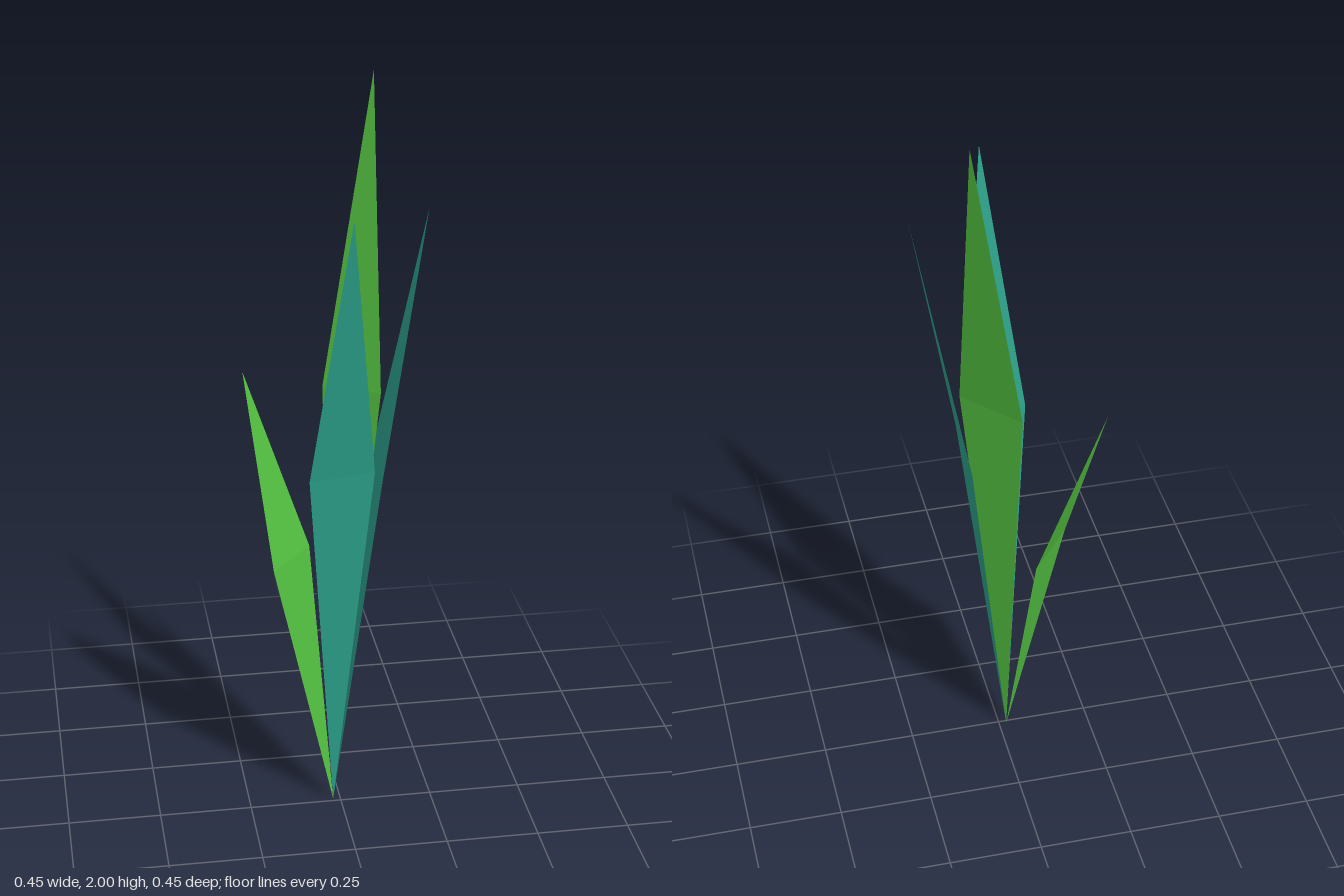
import * as THREE from 'three';

const ROOT = [-0.02, 0, -0.01];

// A kite-shaped leaf: root, two shoulders and a tip, creased between the shoulders
function makeLeaf(name, material, shoulderA, shoulderB, tip) {
  const corners = [ROOT, shoulderA, shoulderB, shoulderA, tip, shoulderB].flat();
  const geometry = new THREE.BufferGeometry();
  geometry.setAttribute('position', new THREE.Float32BufferAttribute(corners, 3));
  geometry.computeVertexNormals();
  const leaf = new THREE.Mesh(geometry, material);
  leaf.name = name;
  return leaf;
}

export function createModel() {
  const options = { side: THREE.DoubleSide, flatShading: true };
  const green = new THREE.MeshStandardMaterial({ color: 0x52bf40, ...options });
  green.name = 'leafGreen';
  const teal = new THREE.MeshStandardMaterial({ color: 0x2ca18b, ...options });
  teal.name = 'leafTeal';

  const plant = new THREE.Group();
  plant.name = 'grassTuft';
  plant.add(
    // Teal leaves leaning forward and to the left
    makeLeaf('frontLeaf', teal, [-0.098, 1.02, 0.108], [0.074, 1.03, 0.092], [-0.003, 1.75, 0.225]),
    makeLeaf('leftLeaf', teal, [0.094, 1.0, 0.09], [0.094, 0.98, -0.107], [0.226, 1.7, -0.01]),
    // Green leaves leaning backward, one tall and one short
    makeLeaf('tallBackLeaf', green, [0.112, 1.19, -0.045], [-0.023, 1.17, -0.167], [0.119, 2.0, -0.219]),
    makeLeaf('shortBackLeaf', green, [-0.058, 0.7, -0.183], [-0.174, 0.7, -0.037], [-0.227, 1.2, -0.228])
  );
  return plant;
}
